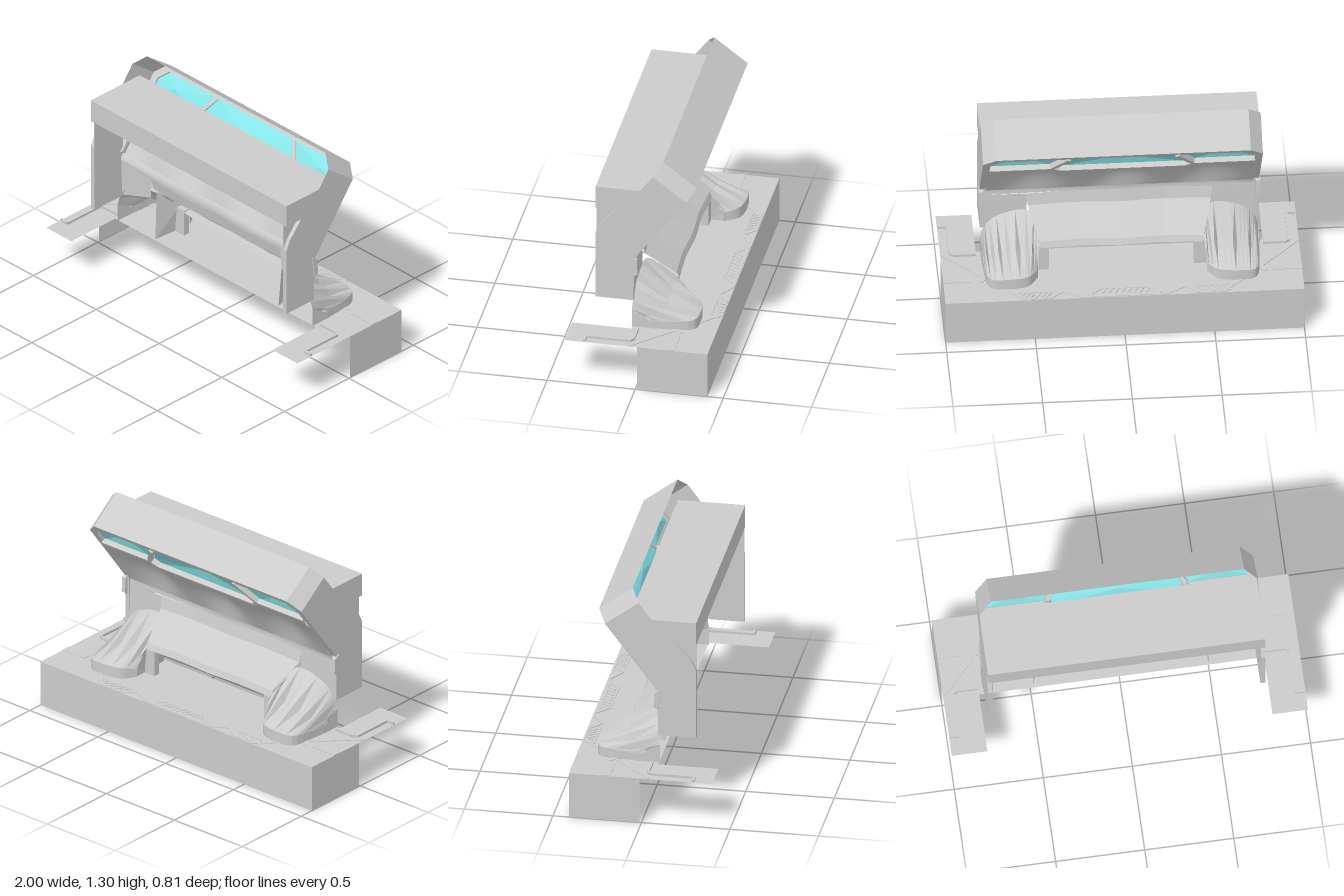
import * as THREE from 'three';

const grey = new THREE.MeshStandardMaterial({ color: 0xcccccc, flatShading: true, side: THREE.DoubleSide });
const smooth = new THREE.MeshStandardMaterial({ color: 0xcccccc, side: THREE.DoubleSide });
const teal = new THREE.MeshStandardMaterial({ color: 0x86e4e8, flatShading: true, side: THREE.DoubleSide });

function add(parent, name, geometry, material = grey) {
  const mesh = new THREE.Mesh(geometry, material);
  mesh.name = name;
  parent.add(mesh);
}

function box(parent, name, x0, x1, y0, y1, z0, z1) {
  const g = new THREE.BoxGeometry(Math.abs(x1 - x0), y1 - y0, z1 - z0);
  add(parent, name, g.translate((x0 + x1) / 2, (y0 + y1) / 2, (z0 + z1) / 2));
}

const shapeOf = (pts) => new THREE.Shape(pts.map((p) => new THREE.Vector2(p[0], p[1])));

// Extrudes a [z, y] profile along x from x0 to x1
function alongX(pts, x0, x1) {
  const g = new THREE.ExtrudeGeometry(shapeOf(pts.map(([z, y]) => [-z, y])), { depth: x1 - x0, bevelEnabled: false });
  return g.rotateY(Math.PI / 2).translate(x0, 0, 0);
}

// Joins rows of points into one surface
function loft(rows) {
  const pos = [], idx = [], n = rows[0].length;
  rows.forEach((r) => r.forEach((p) => pos.push(...p)));
  for (let r = 0; r < rows.length - 1; r++)
    for (let i = 0; i < n - 1; i++) {
      const a = r * n + i, b = a + n;
      idx.push(a, a + 1, b, a + 1, b + 1, b);
    }
  const g = new THREE.BufferGeometry();
  g.setAttribute('position', new THREE.Float32BufferAttribute(pos, 3));
  g.setIndex(idx);
  g.computeVertexNormals();
  return g;
}

// Low bars on the floor along [x, z] points
function trim(parent, name, pts, width = 0.012, height = 0.004) {
  for (let i = 0; i < pts.length - 1; i++) {
    const [x0, z0] = pts[i], [x1, z1] = pts[i + 1];
    const g = new THREE.BoxGeometry(Math.hypot(x1 - x0, z1 - z0), height, width);
    g.rotateY(-Math.atan2(z1 - z0, x1 - x0)).translate((x0 + x1) / 2, 0.27 + height / 2, (z0 + z1) / 2);
    add(parent, name, g);
  }
}

const curve = (pts, n) =>
  new THREE.CatmullRomCurve3(pts.map((p) => new THREE.Vector3(...p)), false, 'centripetal').getPoints(n).map((p) => p.toArray());

function createBase() {
  const base = new THREE.Group();
  base.name = 'base';
  // Floor with two forward arms, as [x, -z]
  const floor = new THREE.ShapeGeometry(shapeOf([
    [-1, 0.41], [-1, -0.4], [-0.8, -0.4], [-0.8, -0.06], [0.8, -0.06], [0.8, -0.4], [1, -0.4], [1, 0.41],
  ]));
  add(base, 'floor', floor.rotateX(-Math.PI / 2).translate(0, 0.27, 0));
  // Thin skirt at the back and sides
  add(base, 'backSkirt', new THREE.PlaneGeometry(2, 0.27).translate(0, 0.135, -0.41));
  for (const s of [1, -1]) {
    add(base, 'sideSkirt', new THREE.PlaneGeometry(0.4, 0.27).rotateY(Math.PI / 2).translate(s, 0.135, -0.21));
    const m = (pts) => pts.map(([x, z]) => [x * s, z]);
    trim(base, 'armTrim', m([[0.8, 0.025], [0.92, 0.025], [0.945, 0.04], [0.945, 0.29], [0.995, 0.29]]), 0.014, 0.014);
    trim(base, 'diagonalTrim', m([[0.995, 0.04], [0.79, -0.17], [0.6, -0.36], [0.56, -0.4], [0.41, -0.4], [0.34, -0.34], [0.24, -0.4], [0, -0.4]]));
    trim(base, 'sideStripe', m([[0.84, -0.2], [1, -0.2]]), 0.045);
    trim(base, 'sideStripe', m([[0.8, -0.225], [0.75, -0.17]]), 0.03);
    trim(base, 'ventFrame', m([[0.56, -0.395], [0.6, -0.34], [0.39, -0.34]]));
    for (let i = 0; i < 6; i++) {
      const x = 0.41 + i * 0.03;
      trim(base, 'ventSlat', m([[x, -0.35], [x + 0.03, -0.39]]), 0.014);
    }
  }
  // Middle vent
  trim(base, 'ventFrame', [[-0.2, -0.39], [-0.13, -0.33], [0.13, -0.33], [0.2, -0.39], [-0.2, -0.39]]);
  for (let i = 0; i < 8; i++) trim(base, 'ventSlat', [[-0.14 + i * 0.035, -0.34], [-0.11 + i * 0.035, -0.385]], 0.014);
  return base;
}

// Tilted hood: local x across, y up the slope, z through its depth
function createHood() {
  const hood = new THREE.Group();
  hood.name = 'hood';
  hood.position.set(0, 0.71, 0.05);
  hood.rotation.x = -Math.atan2(0.34, 0.45);
  const flip = (pts) => pts.map(([x, y]) => [-x, y]).reverse();
  const outer = [[0.78, 0], [0.78, 0.489], [0.71, 0.564]];
  const inner = [[0.738, 0.01], [0.738, 0.47], [0.682, 0.53]];
  const arch = (half) => [...half, ...flip(half)];
  // Thin shell, open front and back
  add(hood, 'hoodShell', loft([0, 0.238].map((z) => arch(outer).map(([x, y]) => [x, y, z]))));
  const lip = shapeOf([...arch(outer), ...arch(inner).reverse()]);
  add(hood, 'hoodLip', new THREE.ExtrudeGeometry(lip, { depth: 0.03, bevelEnabled: false }));

  // Faceted glass: each pane is a fan around a slightly sunken centre
  const pane = (pts) => {
    const cx = pts.reduce((t, p) => t + p[0], 0) / pts.length, cy = pts.reduce((t, p) => t + p[1], 0) / pts.length;
    const ring = [...pts, pts[0]];
    add(hood, 'glassPane', loft([ring.map(([x, y]) => [x, y, 0.02]), ring.map(() => [cx, cy, 0.045])]), teal);
  };
  const side = [[0.738, 0.385], [0.738, 0.47], [0.682, 0.53], [0.32, 0.53], [0.41, 0.385]];
  pane(side);
  pane(flip(side));
  pane([[-0.34, 0.345], [0.34, 0.345], [0.37, 0.385], [0.29, 0.53], [-0.29, 0.53], [-0.37, 0.385]]);
  // Bars between the panes and along their lower edge
  const bar = (x0, y0, x1, y1, depth) => {
    const g = new THREE.BoxGeometry(Math.hypot(x1 - x0, y1 - y0) + 0.012, 0.025, depth);
    g.rotateZ(Math.atan2(y1 - y0, x1 - x0)).translate((x0 + x1) / 2, (y0 + y1) / 2, depth / 2 - 0.01);
    add(hood, 'glassBar', g);
  };
  for (const s of [1, -1]) {
    bar(0.39 * s, 0.385, 0.305 * s, 0.53, 0.035);
    bar(0.735 * s, 0.375, 0.4 * s, 0.375, 0.035);
    bar(0.4 * s, 0.375, 0.35 * s, 0.335, 0.05);
  }
  bar(-0.35, 0.335, 0.35, 0.335, 0.06);

  // Softly hollowed panel below the glass
  const rows = [];
  for (let r = 0; r <= 8; r++) {
    const t = r / 8, row = [];
    for (let i = 0; i <= 40; i++) {
      const x = -0.745 + (1.49 * i) / 40, a = Math.abs(x);
      const top = 0.33 + 0.04 * THREE.MathUtils.clamp((a - 0.34) / 0.06, 0, 1);
      const hollow = Math.sin(Math.PI * t) * (0.025 + 0.018 * Math.cos(a * 13));
      row.push([x, t * top, -0.008 + hollow]);
    }
    rows.push(row);
  }
  add(hood, 'innerPanel', loft(rows), smooth);
  return hood;
}

function createConsole(s) {
  const g = new THREE.Group();
  g.name = 'console';
  const N = 20;
  const m = (pts) => pts.map(([x, y, z]) => [x * s, y, z]);
  const top = curve([[0.46, 0.44, -0.12], [0.5, 0.56, 0.03], [0.64, 0.54, 0.05], [0.74, 0.47, 0.06], [0.775, 0.38, 0.065]], N);
  const low = curve([[0.47, 0.32, -0.2], [0.53, 0.335, -0.28], [0.65, 0.335, -0.3], [0.74, 0.33, -0.28], [0.775, 0.31, -0.05]], N);
  // Fan of ridges sagging from the rim down to the foot
  const mid = top.map((p, i) => {
    const k = i % 4 < 2 ? 0.012 : -0.014;
    const sag = 0.035 * Math.sin((Math.PI * i) / N);
    return [(p[0] + low[i][0]) / 2, (p[1] + low[i][1]) / 2 + k - sag, (p[2] + low[i][2]) / 2 - k];
  });
  add(g, 'fan', loft([m(top), m(mid), m(low)]));
  add(g, 'foot', loft([m(low), m(low.map(([x, , z]) => [x, 0.27, z]))]));
  add(g, 'outerCheek', loft([
    m([[0.775, 0.27, 0.065], [0.775, 0.38, 0.065]]),
    m([[0.775, 0.27, -0.05], [0.775, 0.31, -0.05]]),
  ]));
  // Post beside the opening and the cheek behind it
  box(g, 'post', 0.405 * s, 0.475 * s, 0.27, 0.43, -0.13, -0.09);
  add(g, 'innerCheek', loft([
    m([[0.475, 0.27, -0.2], [0.475, 0.32, -0.2]]),
    m([[0.475, 0.27, -0.1], [0.46, 0.44, -0.12]]),
    m([[0.49, 0.27, 0.05], [0.5, 0.56, 0.03]]),
  ]));
  return g;
}

export function createModel() {
  const model = new THREE.Group();
  model.name = 'booth';
  model.add(createBase(), createHood());

  // Header box
  box(model, 'header', -0.779, 0.779, 1.01, 1.145, -0.11, 0.27);

  const wall = [[0.27, 0.44], [0.27, 0.85], [0.24, 0.91], [0.036, 1.145], [0.05, 0.71], [0.055, 0.44]];
  const infill = [[0.27, 0.85], [0.27, 1.01], [0.15, 1.01], [0.24, 0.91]];
  for (const s of [1, -1]) {
    // Side wall following the hood, with a recessed sheet up to the header
    add(model, 'sideWall', alongX(wall, s > 0 ? 0.75 : -0.778, s > 0 ? 0.778 : -0.75));
    add(model, 'innerSheet', alongX(infill, 0.752 * s - 0.002, 0.752 * s + 0.002));
    const x = s > 0 ? 0.76 : -0.785;
    add(model, 'hingePad', alongX([[0.07, 0.72], [0.035, 0.7], [0.03, 0.61], [0.055, 0.595]], x, x + 0.025));
    add(model, 'cheekPanel', loft([
      [[0.775 * s, 0.44, 0.055], [0.775 * s, 0.66, 0.06]],
      [[0.52 * s, 0.53, 0.055], [0.51 * s, 0.66, 0.06]],
    ]));
    model.add(createConsole(s));
  }

  // Waist joining the inner panel and the apron
  const band = (y, z) => [[-0.755, y, z], [-0.3, y, z + 0.01], [0, y, z], [0.3, y, z + 0.01], [0.755, y, z]];
  add(model, 'waist', loft([band(0.715, 0.045), band(0.695, 0.065), band(0.66, 0.06)]), smooth);

  // Sloping apron with a lip above the opening
  const row = (w, y, z) => [-1, -0.5, 0, 0.5, 1].map((k) => [k * w, y, z + (Math.abs(k) === 0.5 ? 0.012 : 0)]);
  add(model, 'apron', loft([row(0.52, 0.66, 0.06), row(0.51, 0.59, 0.045), row(0.46, 0.46, -0.125), row(0.45, 0.425, -0.14), row(0.44, 0.42, -0.09)]));
  return model;
}
